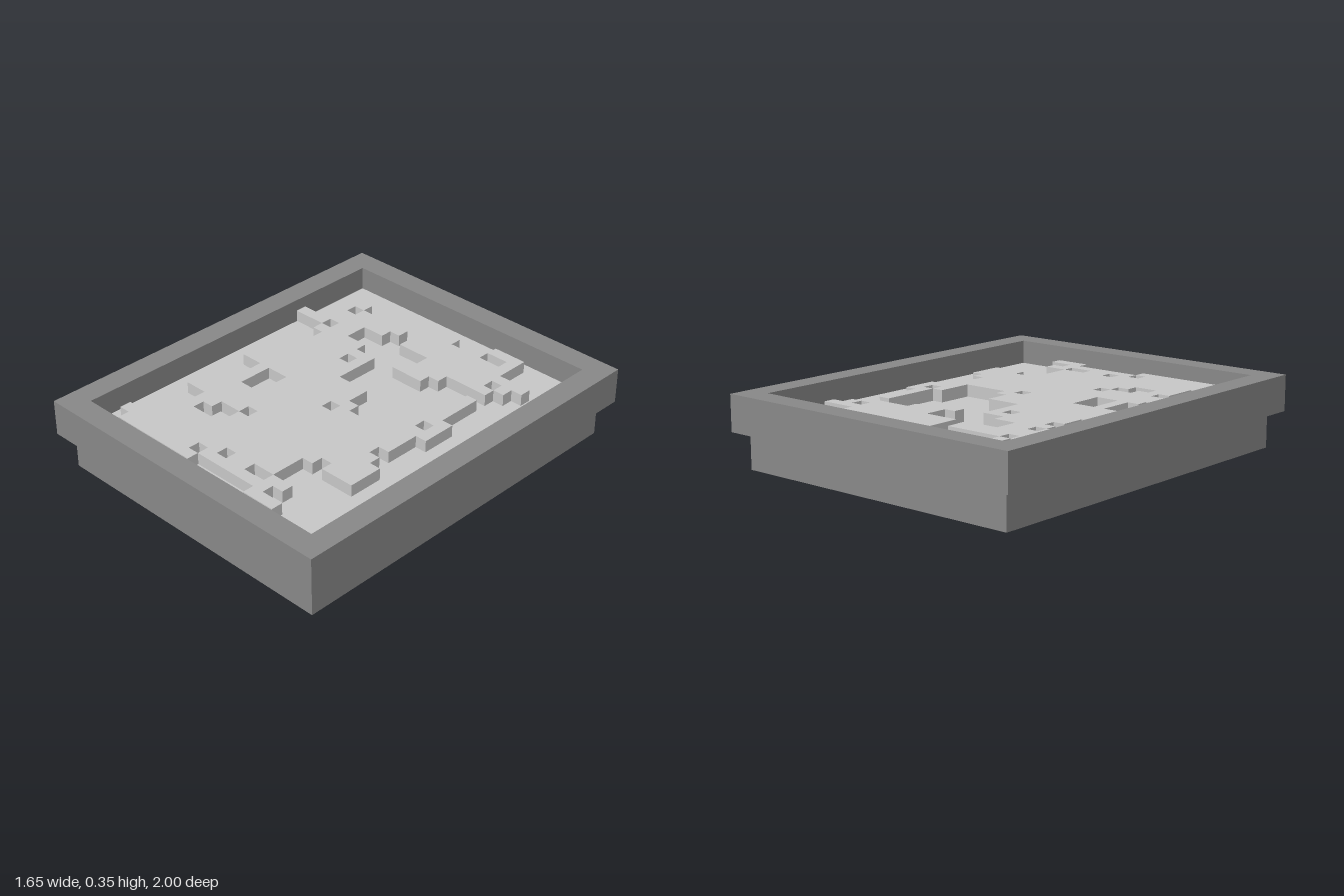
import * as THREE from 'three';
import { mergeGeometries } from 'three/addons/utils/BufferGeometryUtils.js';

// Everything sits on a grid of square cells
const CELL = 1 / 17;
const COLS = 24, ROWS = 30;

// Raised land, one character per cell, back row first, -x on the left
const LAND = [
  '........................',
  '................###.....',
  '............#.##..#.....',
  '...#......#########.....',
  '..#.#####.############..',
  '..######..#########.#...',
  '..####.......#######....',
  '###.##.......###........',
  '...#####....###....#....',
  '....######.........#....',
  '...#####.#.........#....',
  '...#######.........#....',
  '..########.........##...',
  '..###########.....#.#...',
  '..###########.....###...',
  '..############....##....',
  '....#..#####.#######....',
  '....#..#############....',
  '....#..############.....',
  '...#################....',
  '..###################...',
  '..######.############...',
  '....##..#########.###...',
  '...##..#########........',
  '...#############........',
  '...#############........',
  '..#########.##..##......',
  '.########.#######.......',
  '..########......###.....',
  '........................',
];

// Top faces for land cells, plus a wall wherever the neighbour is lower
function landGeometry(y0) {
  const isLand = (c, r) => LAND[r]?.[c] === '#';
  const faces = [];
  for (let r = 0; r < ROWS; r++) {
    for (let c = 0; c < COLS; c++) {
      if (!isLand(c, r)) continue;
      const x = c + 0.5 - COLS / 2, z = r + 0.5 - ROWS / 2;
      faces.push(new THREE.PlaneGeometry(1, 1).rotateX(-Math.PI / 2).translate(x, y0 + 1, z));
      for (const [dx, dz] of [[1, 0], [-1, 0], [0, 1], [0, -1]]) {
        if (isLand(c + dx, r + dz)) continue;
        faces.push(new THREE.PlaneGeometry(1, 1)
          .rotateY(Math.atan2(dx, dz))
          .translate(x + dx / 2, y0 + 0.5, z + dz / 2));
      }
    }
  }
  return mergeGeometries(faces);
}

// Rectangle outline centred on the origin
function rectangle(PathType, w, h) {
  return new PathType([[-1, -1], [1, -1], [1, 1], [-1, 1]]
    .map(([x, y]) => new THREE.Vector2(x * w / 2, y * h / 2)));
}

export function createModel() {
  const model = new THREE.Group();
  model.name = 'reliefTray';

  const frameGrey = new THREE.MeshStandardMaterial({ color: 0x8a8a8a });
  frameGrey.name = 'frame grey';
  const reliefGrey = new THREE.MeshStandardMaterial({ color: 0xcacaca });
  reliefGrey.name = 'relief light grey';

  const add = (name, geometry, material) => {
    const mesh = new THREE.Mesh(geometry.scale(CELL, CELL, CELL), material);
    mesh.name = name;
    model.add(mesh);
  };

  // Plinth, slightly smaller than the frame
  add('base', new THREE.BoxGeometry(26, 3, 32).translate(0, 1.5, 0), frameGrey);

  // Overhanging rim with a rectangular opening
  const rim = rectangle(THREE.Shape, 28, 34);
  rim.holes.push(rectangle(THREE.Path, COLS, ROWS));
  add('frame', new THREE.ExtrudeGeometry(rim, { depth: 3, bevelEnabled: false })
    .rotateX(-Math.PI / 2).translate(0, 3, 0), frameGrey);

  // Recessed floor and the land standing one cell above it
  add('floor', new THREE.BoxGeometry(COLS, 1, ROWS).translate(0, 3.5, 0), reliefGrey);
  add('raisedLand', landGeometry(4), reliefGrey);

  return model;
}
